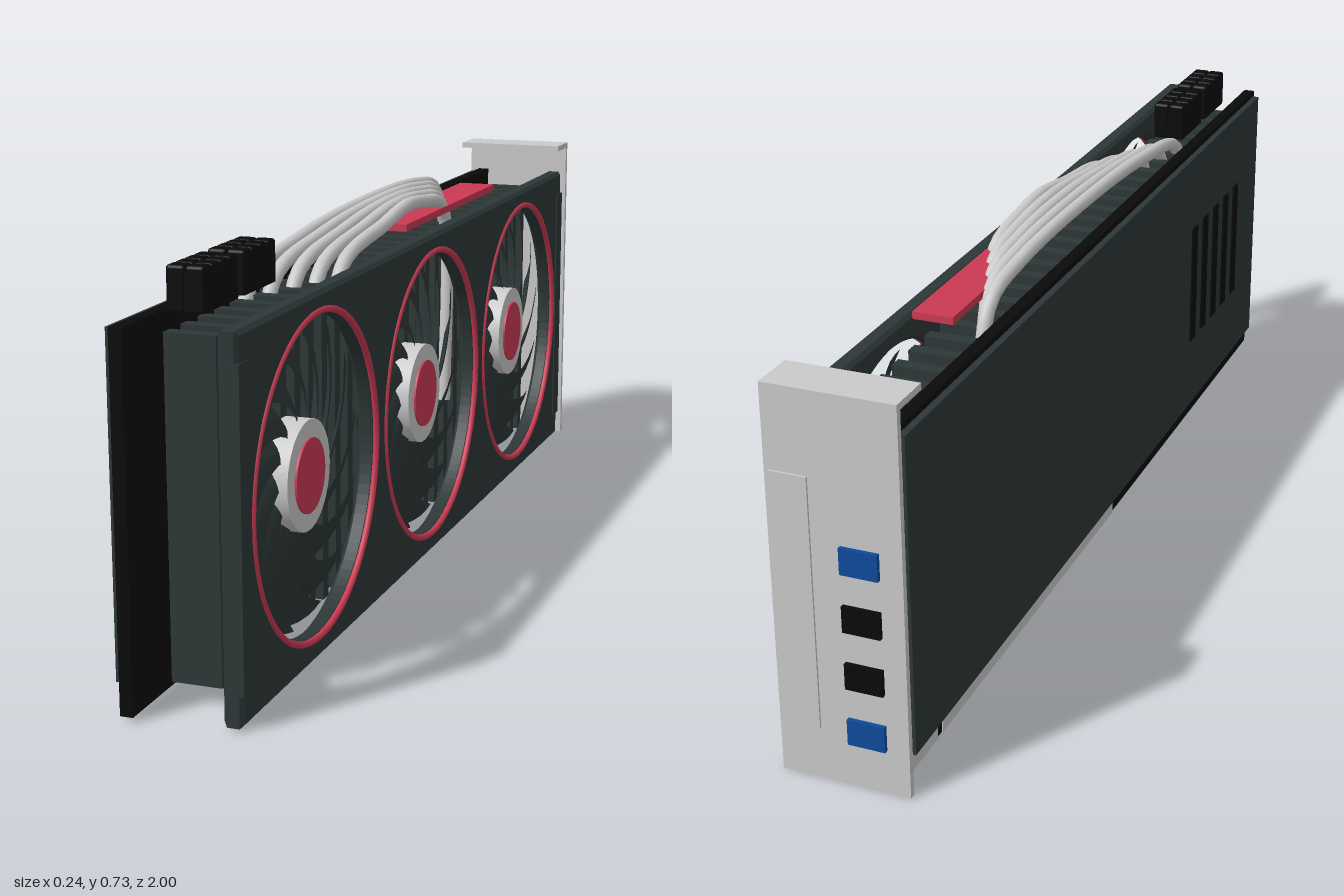
import * as THREE from 'three';
import { RoundedBoxGeometry } from 'three/addons/geometries/RoundedBoxGeometry.js';

const mat = (name, color, side = THREE.FrontSide) => {
  const m = new THREE.MeshStandardMaterial({ color, side });
  m.name = name;
  return m;
};

export function createModel() {
  const model = new THREE.Group();
  model.name = 'graphicsCard';
  const slate = mat('slate', 0x2d3737, THREE.DoubleSide);
  const black = mat('black', 0x0a0a0a);
  const silver = mat('silver', 0xcacaca, THREE.DoubleSide);
  const red = mat('red', 0xcb3a52);
  const blue = mat('blue', 0x0f4a9c);

  const add = (name, geometry, material, parent = model) => {
    const mesh = new THREE.Mesh(geometry, material);
    mesh.name = name;
    parent.add(mesh);
    return mesh;
  };
  // Box given by its limits on each axis
  const box = (name, material, x0, x1, y0, y1, z0, z1, parent = model) => {
    const mesh = add(name, new THREE.BoxGeometry(x1 - x0, y1 - y0, z1 - z0), material, parent);
    mesh.position.set((x0 + x1) / 2, (y0 + y1) / 2, (z0 + z1) / 2);
    return mesh;
  };

  // Circuit board with edge contacts on its lower rear edge
  box('circuitBoard', black, -0.093, -0.07, 0.008, 0.648, -0.955, 1);
  box('edgeContacts', silver, -0.095, -0.068, 0.007, 0.053, -0.95, -0.83);
  box('edgeContacts', silver, -0.095, -0.068, 0.007, 0.053, -0.81, 0.04);

  // Backplate and its vent slits
  box('backplate', slate, -0.111, -0.098, 0.055, 0.642, -0.95, 0.975);
  for (let i = 0; i < 5; i++) {
    const z = 0.505 + i * 0.075;
    box('ventSlit', black, -0.114, -0.11, 0.215, 0.48, z - 0.017, z + 0.017);
  }

  // Heatsink fins
  const heatsink = new THREE.Group();
  heatsink.name = 'heatsink';
  model.add(heatsink);
  for (let i = 0; i < 28; i++) {
    const z = -0.86 + i * 0.0647;
    box('fin', slate, -0.048, 0.043, 0.035, 0.623, z - 0.013, z + 0.013, heatsink);
  }

  // Heat pipes arching over the fins, staggered at both ends
  for (let i = 0; i < 5; i++) {
    const x = -0.045 + i * 0.0233;
    const zf = 0.58 - i * 0.05;
    const zb = -0.49 + i * 0.06;
    const path = new THREE.CatmullRomCurve3([
      [0.585, zf + 0.02], [0.645, zf - 0.03], [0.682, zf - 0.25], [0.7, 0],
      [0.695, zb + 0.16], [0.67, zb + 0.03], [0.6, zb - 0.01], [0.25, zb],
    ].map(([y, z]) => new THREE.Vector3(x, y, z)));
    add('heatPipe', new THREE.TubeGeometry(path, 48, 0.0135, 12), silver);
  }

  // Red plate on the top edge
  box('topPlate', red, -0.015, 0.062, 0.655, 0.669, -0.555, 0.04);

  // Power connectors, four by two sockets each
  for (const z0 of [0.575, 0.735]) {
    const plug = new THREE.Group();
    plug.name = 'powerConnector';
    model.add(plug);
    box('connectorBody', black, -0.054, 0.01, 0.65, 0.715, z0 + 0.003, z0 + 0.135, plug);
    for (let i = 0; i < 4; i++) {
      for (let j = 0; j < 2; j++) {
        const socket = add('socket', new RoundedBoxGeometry(0.034, 0.077, 0.033, 2, 0.006), black, plug);
        socket.position.set(-0.039 + j * 0.034, 0.687, z0 + 0.018 + i * 0.034);
      }
    }
  }

  // Fan side: local x runs to the rear, local z points outward
  const fanSide = new THREE.Group();
  fanSide.name = 'fanSide';
  fanSide.rotation.y = Math.PI / 2;
  model.add(fanSide);
  const fanY = 0.33;
  const fanCentres = [-0.64, -0.02, 0.6];

  // Shroud with three round openings
  const b = 0.007;
  const outline = new THREE.Shape();
  outline.moveTo(-0.978 + b, 0.005 + b);
  outline.lineTo(0.945 - b, 0.005 + b);
  outline.lineTo(0.945 - b, 0.65 - b);
  outline.lineTo(-0.978 + b, 0.65 - b);
  outline.closePath();
  for (const c of fanCentres) {
    const hole = new THREE.Path();
    hole.absarc(c, fanY, 0.288, 0, Math.PI * 2, true);
    outline.holes.push(hole);
  }
  const shroud = new THREE.ExtrudeGeometry(outline, {
    depth: 0.036 - 2 * b, bevelEnabled: true, bevelSize: b, bevelThickness: b, bevelSegments: 1, curveSegments: 48,
  });
  add('shroud', shroud, slate, fanSide).position.z = 0.078 + b;
  box('shroudEndTrim', slate, 0.082, 0.1165, 0.06, 0.6, 0.938, 0.98);
  box('shroudEndTrim', slate, 0.082, 0.1165, 0.06, 0.6, -0.948, -0.905);

  // One swept, pitched blade made by bending a flat grid
  const blade = new THREE.PlaneGeometry(1, 1, 5, 10);
  const p = blade.attributes.position;
  for (let i = 0; i < p.count; i++) {
    const v = p.getX(i) + 0.5;
    const t = p.getY(i) + 0.5;
    const r = 0.09 + 0.183 * t;
    const a = 0.95 * t + (v - 0.5) * 0.47;
    p.setXYZ(i, r * Math.cos(a), r * Math.sin(a), 0.049 + 0.03 * v + 0.006 * Math.sin(Math.PI * v));
  }
  blade.computeVertexNormals();

  const disc = (name, radius, z0, z1, material, parent) => {
    const g = new THREE.CylinderGeometry(radius, radius, z1 - z0, 40).rotateX(Math.PI / 2);
    add(name, g, material, parent).position.z = (z0 + z1) / 2;
  };
  const bladeCount = 13;
  for (const c of fanCentres) {
    const fan = new THREE.Group();
    fan.name = 'fan';
    fan.position.set(c, fanY, 0);
    fanSide.add(fan);
    for (let i = 0; i < bladeCount; i++) {
      add('fanBlade', blade, slate, fan).rotation.z = (i / bladeCount) * Math.PI * 2;
    }
    disc('fanHub', 0.098, 0.046, 0.094, silver, fan);
    disc('hubCap', 0.066, 0.09, 0.098, red, fan);
    add('fanRing', new THREE.TorusGeometry(0.287, 0.0065, 8, 64), red, fan).position.z = 0.112;
  }

  // Mounting bracket with top lip, raised panel and ports
  box('bracket', silver, -0.12, 0.116, 0, 0.715, -0.992, -0.98);
  box('bracketLip', silver, -0.12, 0.116, 0.703, 0.715, -0.905, -0.98);
  box('bracketPanel', silver, 0.04, 0.107, 0.1, 0.565, -0.996, -0.991);
  [0.108, 0.215, 0.322, 0.428].forEach((y, i) => {
    box('port', i % 3 === 0 ? blue : black, -0.08, -0.012, y - 0.024, y + 0.024, -1, -0.991);
  });

  return model;
}
